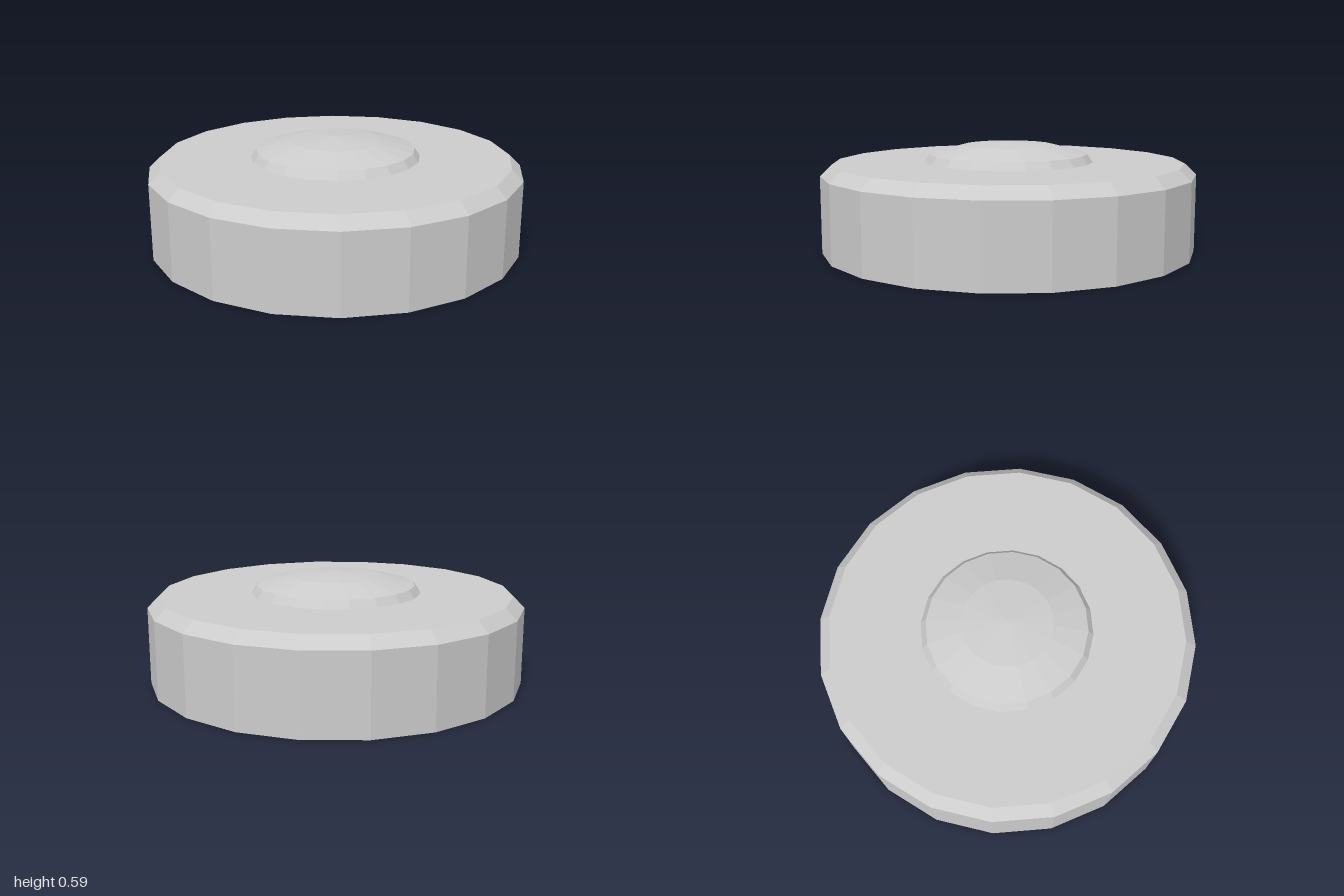
import * as THREE from 'three';

const SIDES = 20;

// Faceted solid of revolution; half a step of turn puts flat facets on the x and z axes
function turned(name, profile, material) {
  const points = profile.map(([r, y]) => new THREE.Vector2(r, y));
  const geometry = new THREE.LatheGeometry(points, SIDES, Math.PI / SIDES).toNonIndexed();
  geometry.computeVertexNormals();
  const mesh = new THREE.Mesh(geometry, material);
  mesh.name = name;
  return mesh;
}

export function createModel() {
  const grey = new THREE.MeshStandardMaterial({ color: 0xcccccc });
  grey.name = 'light grey';

  const model = new THREE.Group();
  model.name = 'roundButton';

  // Drum with a closed underside and a bevelled top edge, open under the dome
  model.add(turned('base', [[0, 0], [1.0125, 0], [1.0125, 0.416], [0.951, 0.475], [0.46, 0.475]], grey));

  // Low dome with a short steep rim
  model.add(turned('dome', [[0.46, 0.475], [0.43, 0.518], [0.245, 0.566], [0, 0.587]], grey));

  return model;
}
